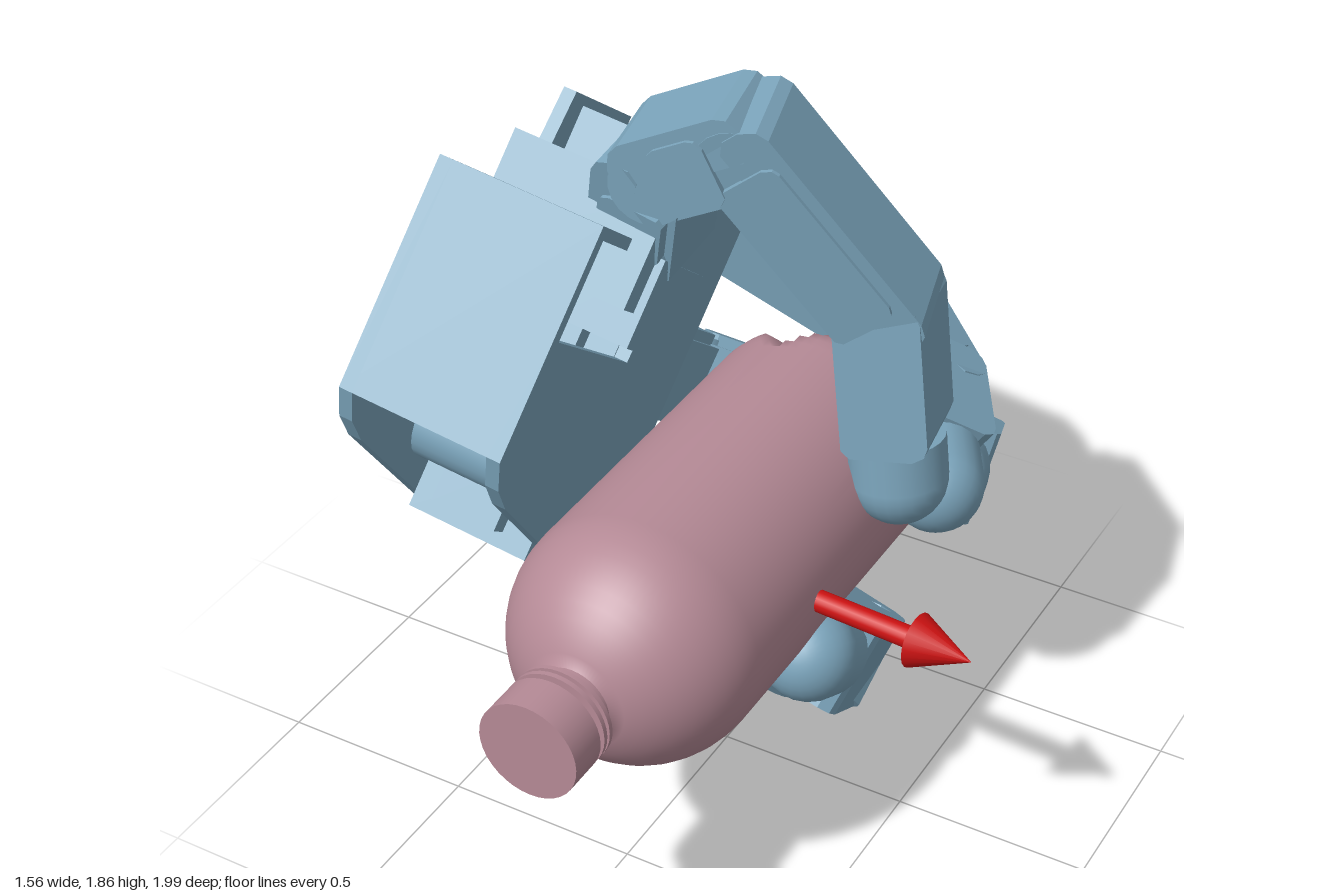
import * as THREE from 'three';

const BLUE = new THREE.MeshStandardMaterial({ color: 0x7ba4bb, flatShading: true });
const BLUE_SMOOTH = new THREE.MeshStandardMaterial({ color: 0x7ba4bb });
const PINK = new THREE.MeshStandardMaterial({ color: 0xb58a96 });
const RED = new THREE.MeshStandardMaterial({ color: 0xcc1111 });
const V = (x, y, z) => new THREE.Vector3(x, y, z);

// Palm frame: N = inner normal, M = towards the wrist, D = across the finger roots
const N = V(0.985, -0.17, -0.03).normalize();
const D = V(-0.115, -0.78, 0.62);
D.addScaledVector(N, -D.dot(N)).normalize();
const M = D.clone().cross(N);
const palmPoint = (h, s, t) => V(0, 0, 0).addScaledVector(N, h).addScaledVector(M, s).addScaledVector(D, t);

function add(group, name, geometry, material) {
  const mesh = new THREE.Mesh(geometry, material);
  mesh.name = name;
  group.add(mesh);
  return mesh;
}

function outline(points) {
  return new THREE.Shape(points.map(p => new THREE.Vector2(p[0], p[1])));
}

// Block given by its ranges along local x, y and z
function block(group, name, x, y, z) {
  const mesh = add(group, name, new THREE.BoxGeometry(x[1] - x[0], y[1] - y[0], z[1] - z[0]), BLUE);
  mesh.position.set((x[0] + x[1]) / 2, (y[0] + y[1]) / 2, (z[0] + z[1]) / 2);
  return mesh;
}

// Chamfered slab: profile in x-y, centred on z
function slab(group, name, x0, x1, y0, y1, c, width) {
  const shape = outline([[x0 + c * 0.5, y0], [x1 - c, y0], [x1 - c * 0.25, y0 + c * 0.4], [x1, y0 + c],
    [x1, y1 - c], [x1 - c * 0.25, y1 - c * 0.4], [x1 - c, y1], [x0 + c * 0.5, y1], [x0, y1 - c * 0.5], [x0, y0 + c * 0.5]]);
  const geo = new THREE.ExtrudeGeometry(shape, { depth: width, bevelEnabled: false });
  geo.translate(0, 0, -width / 2);
  return add(group, name, geo, BLUE);
}

// Group whose y axis runs from a to b; z lies along the hinge, x points outward
function linkFrame(name, a, b, hinge) {
  const y = b.clone().sub(a).normalize();
  const z = hinge.clone().addScaledVector(y, -hinge.dot(y)).normalize();
  const x = y.clone().cross(z);
  const group = new THREE.Group();
  group.name = name;
  group.quaternion.setFromRotationMatrix(new THREE.Matrix4().makeBasis(x, y, z));
  group.position.copy(a);
  return group;
}

// One finger segment: core, outer cover and two cheeks
function link(name, a, b, hinge) {
  const g = linkFrame(name, a, b, hinge);
  const len = a.distanceTo(b);
  slab(g, 'linkCore', -0.1, 0.09, -0.04, len + 0.03, 0.03, 0.2);
  slab(g, 'outerCover', 0.0, 0.12, -0.07, len + 0.06, 0.05, 0.24);
  for (const side of [-1, 1]) {
    slab(g, 'cheek', -0.08, 0.09, 0.03, len - 0.04, 0.03, 0.03).position.z = side * 0.115;
  }
  const pin = add(g, 'hingeBarrel', new THREE.CylinderGeometry(0.095, 0.095, 0.23, 20), BLUE_SMOOTH);
  pin.rotation.x = Math.PI / 2;
  return g;
}

// Last segment: short block ending in a round pad
function fingertip(a, tip, hinge) {
  const g = linkFrame('fingertip', a, tip, hinge);
  const len = a.distanceTo(tip);
  slab(g, 'tipBlock', -0.1, 0.11, -0.07, len - 0.1, 0.04, 0.25);
  const neck = add(g, 'padNeck', new THREE.CylinderGeometry(0.12, 0.12, 0.11, 24), BLUE_SMOOTH);
  neck.position.y = len - 0.055;
  const pad = add(g, 'roundPad', new THREE.SphereGeometry(0.12, 24, 16), BLUE_SMOOTH);
  pad.position.y = len;
  return g;
}

function finger(name, root, rootHinge, j0, j1, j2, tip) {
  const g = new THREE.Group();
  g.name = name;
  const hinge = j1.clone().sub(j0).cross(tip.clone().sub(j1)).normalize();
  g.add(link('rootLink', root, j0, rootHinge), link('proximalLink', j0, j1, hinge),
    link('middleLink', j1, j2, hinge), fingertip(j2, tip, hinge));
  return g;
}

// Palm: local x = depth, y = towards the wrist, z = across
function palm() {
  const g = new THREE.Group();
  g.name = 'palm';
  g.quaternion.setFromRotationMatrix(new THREE.Matrix4().makeBasis(N, M, D));
  const plate = (name, points, x, depth) => {
    const geo = new THREE.ExtrudeGeometry(outline(points), { depth, bevelEnabled: false });
    geo.applyMatrix4(new THREE.Matrix4().makeBasis(V(0, 1, 0), V(0, 0, 1), V(1, 0, 0)));
    add(g, name, geo, BLUE).position.x = x;
  };
  plate('backPlate', [[1.205, -1.075], [1.205, -0.505], [1.14, -0.44], [1.05, -0.4], [0.27, -0.215],
    [0.28, -1.356], [0.69, -1.343], [0.74, -0.85], [0.78, -0.79], [0.95, -0.8], [1.02, -1.075]], -0.855, 0.035);
  plate('innerPlate', [[1.205, -0.8], [1.205, -0.505], [1.14, -0.44], [1.05, -0.4], [0.27, -0.215],
    [0.28, -1.33], [0.66, -1.33], [0.68, -0.8]], -0.465, 0.035);
  // Wrist housing
  block(g, 'wristWall', [-0.855, -0.43], [1.17, 1.205], [-1.075, -0.505]);
  block(g, 'wristSide', [-0.82, -0.43], [1.0, 1.2], [-1.075, -1.045]);
  block(g, 'wristMotor', [-0.8, -0.5], [0.72, 1.0], [-0.78, -0.56]);
  const barrel = add(g, 'motorBarrel', new THREE.CylinderGeometry(0.1, 0.1, 0.26, 24), BLUE_SMOOTH);
  barrel.rotation.z = Math.PI / 2;
  barrel.position.set(-0.64, 0.82, -0.5);
  // Finger motors
  for (const t of [-1.19, -0.79, -0.39]) {
    block(g, 'fingerMotor', [-0.81, -0.48], [0.3, 0.64], [t - 0.13, t + 0.13]);
    block(g, 'motorFlange', [-0.76, -0.52], [0.22, 0.3], [t - 0.15, t + 0.15]);
    block(g, 'motorCap', [-0.74, -0.56], [0.64, 0.7], [t - 0.09, t + 0.09]);
  }
  // Thumb mount
  block(g, 'thumbMotor', [-0.8, -0.38], [0.7, 1.0], [-1.2, -0.92]);
  block(g, 'thumbBracket', [-0.55, -0.36], [0.6, 0.93], [-1.06, -0.84]);
  return g;
}

function bottle() {
  const g = new THREE.Group();
  g.name = 'bottle';
  g.position.set(0.067, 0.745, 0);
  const profile = [[0, -0.35], [0.1, -0.36], [0.2, -0.41], [0.265, -0.41], [0.29, -0.39], [0.305, -0.36],
    [0.31, -0.33], [0.31, -0.3], [0.31, -0.27], [0.31, 0.1], [0.31, 0.52]];
  for (let i = 1; i <= 10; i++) {
    const a = i / 10 * 1.28;
    profile.push([0.31 * Math.cos(a), 0.52 + 0.31 * Math.sin(a)]);
  }
  profile.push([0.09, 0.86]);
  const geo = new THREE.LatheGeometry(profile.map(p => new THREE.Vector2(...p)), 80);
  geo.rotateX(Math.PI / 2);
  // Five wedge grooves round the foot
  const pos = geo.attributes.position, step = Math.PI * 2 / 5;
  for (let i = 0; i < pos.count; i++) {
    const x = pos.getX(i), y = pos.getY(i), z = pos.getZ(i);
    const k = Math.max(0, (-0.27 - z) / 0.14);
    const turn = (Math.atan2(y, x) - Math.PI * 0.2) / step;
    const off = Math.abs(turn - Math.round(turn)) * step;
    const f = 1 - 0.35 * Math.max(0, k - off / 0.36);
    pos.setXY(i, x * f, y * f);
  }
  geo.computeVertexNormals();
  add(g, 'bottleBody', geo, PINK);
  // Neck, collar rings and cap: radius, start, end
  for (const [name, r, z0, z1] of [['neck', 0.095, 0.79, 0.91], ['collar', 0.125, 0.85, 0.862],
    ['collar', 0.125, 0.872, 0.884], ['cap', 0.125, 0.9, 1.0]]) {
    const part = add(g, name, new THREE.CylinderGeometry(r, r, z1 - z0, 36), PINK);
    part.rotation.x = Math.PI / 2;
    part.position.z = (z0 + z1) / 2;
  }
  return g;
}

function arrow() {
  const g = new THREE.Group();
  g.name = 'arrow';
  g.position.set(0.33, 0.75, 0.228);
  g.quaternion.setFromUnitVectors(V(0, 1, 0), V(0.45, 0.005, 0.037).normalize());
  add(g, 'arrowShaft', new THREE.CylinderGeometry(0.027, 0.027, 0.32, 20), RED).position.y = 0.16;
  add(g, 'arrowHead', new THREE.ConeGeometry(0.067, 0.145, 20), RED).position.y = 0.38;
  return g;
}

export function createModel() {
  const model = new THREE.Group();
  model.name = 'handHoldingBottle';
  model.add(palm(), bottle(), arrow());
  model.add(
    finger('upperFinger', palmPoint(-0.64, 0.25, -1.19), D,
      V(-0.44, 1.14, -0.67), V(-0.03, 0.85, -0.845), V(0.23, 0.8, -0.61), V(0.4, 0.73, -0.34)),
    finger('middleFinger', palmPoint(-0.64, 0.25, -0.79), D,
      V(-0.47, 0.63, -0.59), V(-0.04, 0.43, -0.82), V(0.27, 0.55, -0.7), V(0.36, 0.68, -0.45)),
    finger('lowerFinger', palmPoint(-0.64, 0.25, -0.39), D,
      V(-0.48, 0.4, -0.17), V(0, 0.155, -0.25), V(0.27, 0.35, -0.1), V(0.32, 0.53, 0.17)),
    finger('thumb', palmPoint(-0.45, 0.82, -1.12), V(0, 0, -1),
      V(-0.16, 1.65, 0.01), V(0.03, 1.74, -0.03), V(0.34, 1.32, -0.15), V(0.4, 0.9, -0.12)));
  return model;
}
